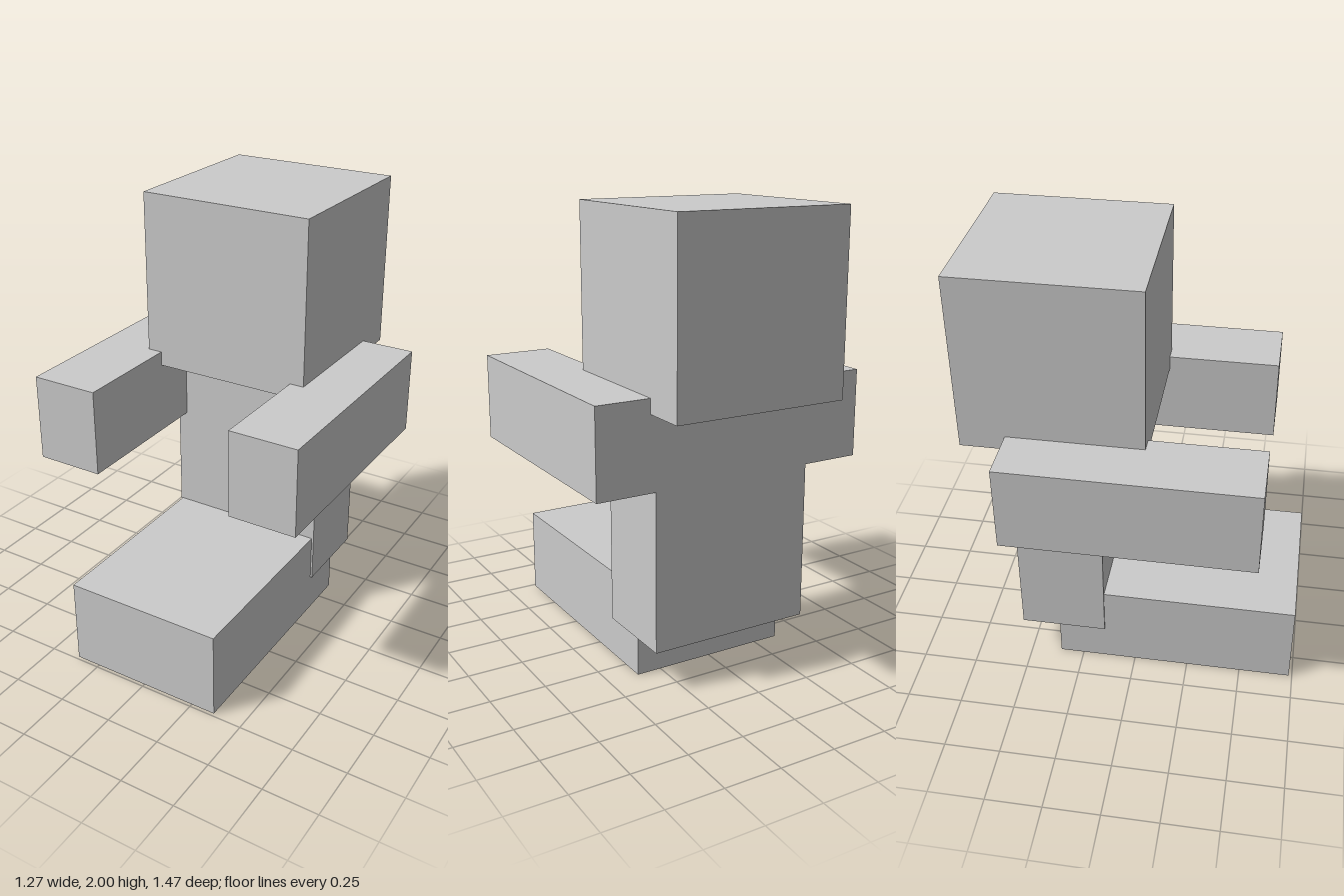
import * as THREE from 'three';

const material = new THREE.MeshStandardMaterial({ color: 0xcccccc, flatShading: true });

// Box given by its [min, max] extents along each axis
function block(name, [x0, x1], [y0, y1], [z0, z1]) {
  const mesh = new THREE.Mesh(new THREE.BoxGeometry(x1 - x0, y1 - y0, z1 - z0), material);
  mesh.position.set((x0 + x1) / 2, (y0 + y1) / 2, (z0 + z1) / 2);
  mesh.name = name;
  return mesh;
}

export function createModel() {
  const model = new THREE.Group();
  model.name = 'seatedBlockFigure';

  // Head overlaps the top of the torso and shoulders
  model.add(block('head', [-0.398, 0.393], [1.21, 2], [-0.735, 0.057]));
  model.add(block('torso', [-0.374, 0.371], [0.18, 1.275], [-0.535, -0.143]));

  // Arms stretched forward, backs flush with the torso
  model.add(block('leftArm', [0.329, 0.636], [0.885, 1.275], [-0.535, 0.56]));
  model.add(block('rightArm', [-0.638, -0.331], [0.885, 1.275], [-0.535, 0.56]));

  // Both legs as one block, stretched forward on the ground
  model.add(block('legs', [-0.366, 0.362], [0, 0.398], [-0.36, 0.735]));

  return model;
}
